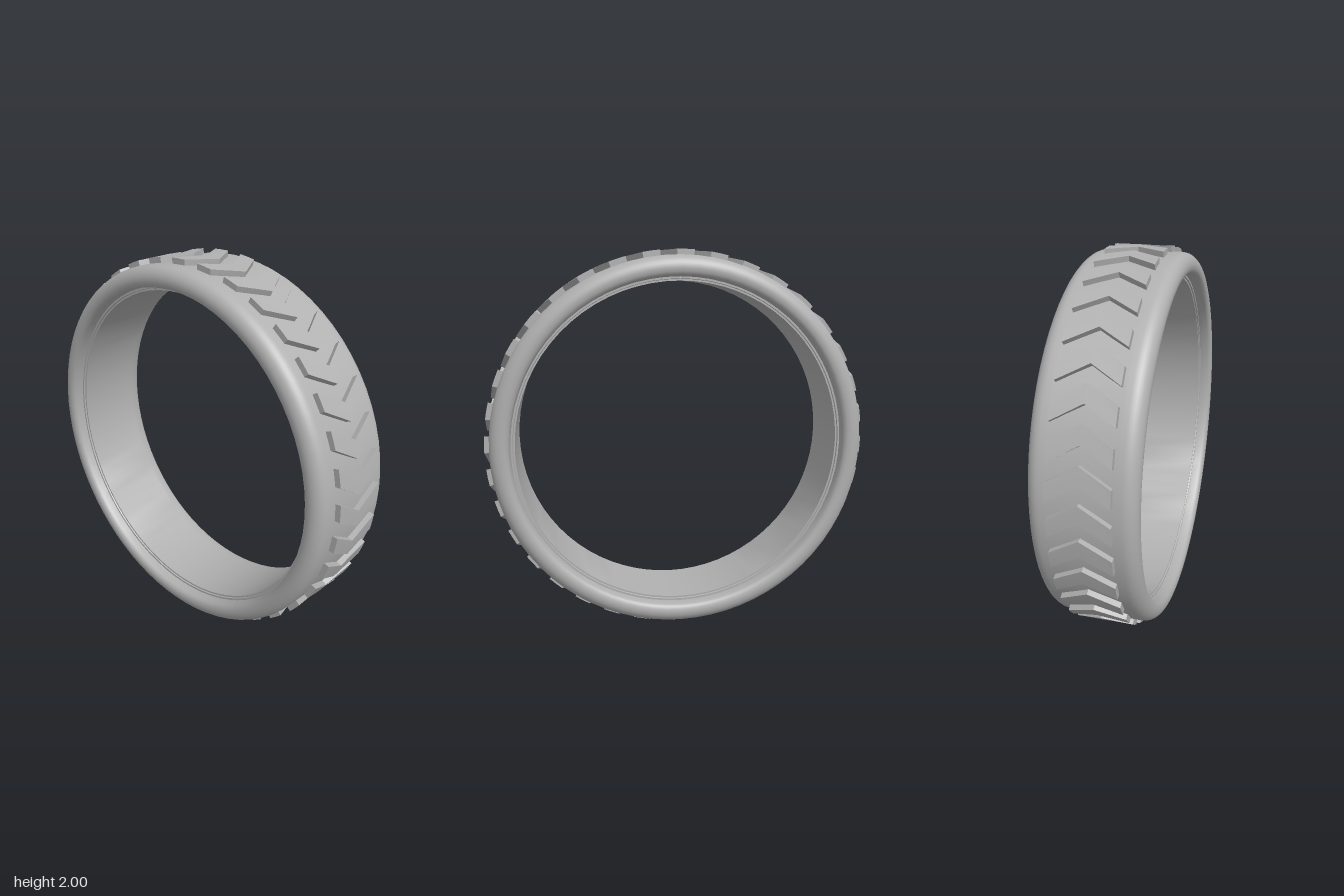
import * as THREE from 'three';
import { toCreasedNormals } from 'three/addons/utils/BufferGeometryUtils.js';

const rubber = new THREE.MeshStandardMaterial({ color: 0xb0b0b0 });
rubber.name = 'grey rubber';

const RADIUS = 1;
const TREADS = 36;
const DEG = Math.PI / 180;

// Half of the tyre cross-section as [radius, z], from the crown round to the inner band
function tyreProfile() {
  const half = [[0.972, 0.16]];
  // rounded shoulder
  for (let i = 0; i <= 8; i++) {
    const a = (i / 8) * Math.PI / 2;
    half.push([0.907 + 0.065 * Math.cos(a), 0.187 + 0.065 * Math.sin(a)]);
  }
  // rounded bead edge
  half.push([0.89, 0.25], [0.876, 0.243], [0.868, 0.23]);
  // recessed lip and the step to the inner band
  half.push([0.866, 0.185], [0.856, 0.185], [0.854, 0.177], [0.845, 0.177]);
  const mirrored = half.map(([r, z]) => [r, -z]).reverse();
  const loop = [...half, ...mirrored, half[0]];
  return loop.map(([r, z]) => new THREE.Vector2(r, z));
}

// One V-shaped tread block, bent round the tyre
function chevronGeometry() {
  const geo = new THREE.BoxGeometry(1, 1, 1, 2, 1, 2);
  const p = geo.attributes.position;
  for (let i = 0; i < p.count; i++) {
    const u = p.getX(i) + 0.5;
    const w = p.getZ(i);
    const angle = (-4.5 + u * 5.1 + (1 - Math.abs(w) * 2) * 5) * DEG;
    const r = p.getY(i) > 0 ? RADIUS : 0.95;
    p.setXYZ(i, r * Math.sin(angle), r * Math.cos(angle), w * 0.294);
  }
  return toCreasedNormals(geo, 0.3);
}

export function createModel() {
  const model = new THREE.Group();
  model.name = 'tyre';

  // Tyre carcass
  const lathe = new THREE.LatheGeometry(tyreProfile(), 72);
  lathe.rotateX(Math.PI / 2);
  const carcass = new THREE.Mesh(toCreasedNormals(lathe, 0.6), rubber);
  carcass.name = 'carcass';
  carcass.position.y = RADIUS;
  model.add(carcass);

  // Ring of tread blocks
  const tread = new THREE.Group();
  tread.name = 'tread';
  tread.position.y = RADIUS;
  const chevron = chevronGeometry();
  for (let i = 0; i < TREADS; i++) {
    const block = new THREE.Mesh(chevron, rubber);
    block.name = 'treadBlock';
    block.rotation.z = (i / TREADS) * Math.PI * 2;
    tread.add(block);
  }
  model.add(tread);

  return model;
}
